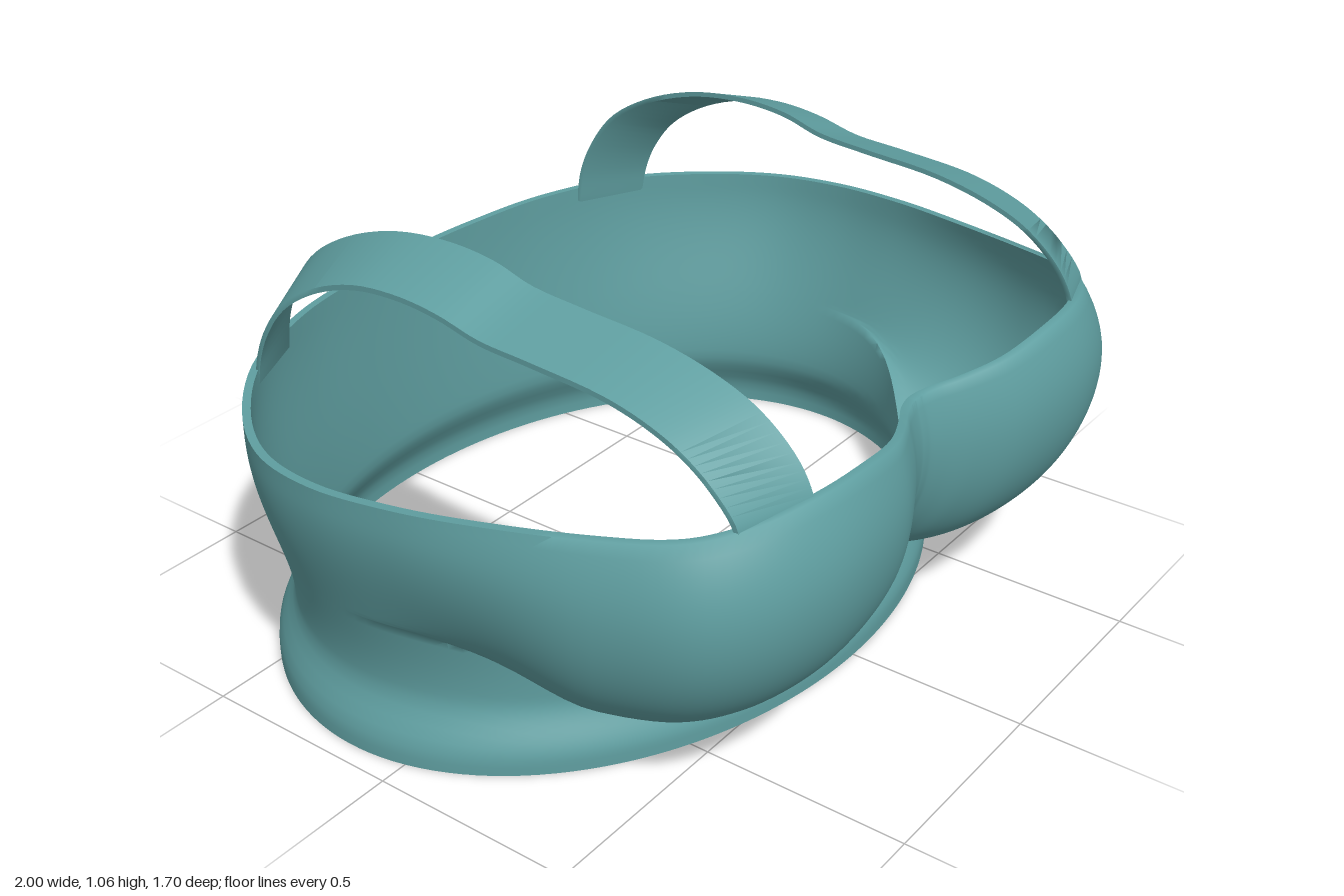
import * as THREE from 'three';
import { toCreasedNormals } from 'three/addons/utils/BufferGeometryUtils.js';

const { smoothstep, lerp, clamp } = THREE.MathUtils;
const fabric = new THREE.MeshStandardMaterial({ color: 0x5f9ea0, side: THREE.DoubleSide });

// Surface through a grid of points; the v direction always closes on itself
function gridGeometry(nu, nv, closedU, point) {
  const pos = [], index = [];
  for (let i = 0; i < nu; i++) for (let j = 0; j < nv; j++) pos.push(...point(i, j));
  for (let i = 0; i < (closedU ? nu : nu - 1); i++) {
    for (let j = 0; j < nv; j++) {
      const i2 = (i + 1) % nu, j2 = (j + 1) % nv;
      const a = i * nv + j, b = i2 * nv + j, c = i2 * nv + j2, d = i * nv + j2;
      index.push(a, b, c, a, c, d);
    }
  }
  const geo = new THREE.BufferGeometry();
  geo.setAttribute('position', new THREE.Float32BufferAttribute(pos, 3));
  geo.setIndex(index);
  return toCreasedNormals(geo, 1.2);
}

// Widest outline of the bodice, front to back: x, height of the neckline, z
const outline = [
  [0, 0.725, 0.715], [0.06, 0.728, 0.73], [0.13, 0.735, 0.768], [0.25, 0.752, 0.822],
  [0.42, 0.774, 0.848], [0.56, 0.774, 0.838], [0.71, 0.757, 0.785], [0.82, 0.738, 0.69],
  [0.895, 0.72, 0.5], [0.95, 0.703, 0.25], [0.985, 0.692, 0.05], [1, 0.682, -0.15],
  [0.97, 0.677, -0.32], [0.88, 0.678, -0.47], [0.7, 0.685, -0.632], [0.45, 0.683, -0.745],
  [0.22, 0.675, -0.795], [0, 0.672, -0.81],
];
const CZ = -0.14, WALL = 0.02;

function bodiceGeometry() {
  const mirrored = outline.slice(1, -1).reverse().map(([x, y, z]) => [-x, y, z]);
  const curve = new THREE.CatmullRomCurve3(
    [...outline, ...mirrored].map(p => new THREE.Vector3(...p)), true);
  const cols = 204, low = 14, high = 34, rows = low + high + 1;

  const columns = Array.from({ length: cols }, (_, i) => {
    const p = curve.getPoint(i / cols);
    const phi = Math.atan2(p.x, p.z - CZ);
    const sin = Math.sin(phi), cos = Math.cos(phi);
    const ribs = 1 / Math.hypot(sin / 0.9, cos / (cos > 0 ? 0.65 : 0.66));
    const full = Math.hypot(p.x, p.z - CZ);
    // Crease under each cup, fading out around the sides
    const cup = smoothstep(p.z, -0.15, 0.5);
    const x = Math.abs(ribs * sin);
    const dx = x < 0.47 ? (0.47 - x) / 0.47 : (x - 0.47) / 0.4;
    const under = lerp(0.35, 0.155 + 0.15 * dx * dx, cup);
    return { sin, cos, ribs, full, cup, under, top: p.y };
  });

  return gridGeometry(cols, rows * 2, true, (i, j) => {
    const c = columns[i];
    const inner = j >= rows;                       // outside going up, lining going down
    const k = inner ? 2 * rows - 1 - j : j;
    const y = k <= low ? c.under * k / low
      : lerp(c.under, c.top, ((k - low) / high) ** 1.7);
    // Round cup profile in front, gentle widening at the sides and back
    const t = clamp((y - c.under) / (c.top - c.under), 0, 1);
    const round = t < 0.68 ? Math.sqrt(1 - (1 - t / 0.68) ** 2)
      : 1 - 0.14 * ((t - 0.68) / 0.32) ** 2;
    const fill = lerp(smoothstep(y, 0.16, 0.64), round, c.cup);
    const hem = 0.05 * (1 - smoothstep(y, 0.03, 0.16));
    const r = lerp(c.ribs, c.full, fill) + hem - (inner ? WALL : 0);
    return [r * c.sin, y, CZ + r * c.cos];
  });
}

// Shoulder strap edges, front to back: z, y
const neckEdge = [
  [0.775, 0.72], [0.772, 0.77], [0.735, 0.84], [0.65, 0.915], [0.55, 0.96], [0.4, 0.995],
  [0.2, 1.01], [0.07, 1.022], [-0.03, 1.05], [-0.15, 1.06], [-0.3, 1.045], [-0.45, 0.995],
  [-0.57, 0.92], [-0.64, 0.83], [-0.68, 0.74], [-0.695, 0.65],
];
const armEdge = [
  [0.715, 0.71], [0.71, 0.76], [0.65, 0.83], [0.58, 0.88], [0.5, 0.915], [0.39, 0.942],
  [0.2, 0.957], [0.07, 0.965], [-0.04, 0.99], [-0.15, 1.0], [-0.28, 0.988], [-0.41, 0.94],
  [-0.51, 0.87], [-0.57, 0.79], [-0.6, 0.72], [-0.615, 0.65],
];

function strapGeometry(side) {
  const edge = (points, x) => new THREE.CatmullRomCurve3(
    points.map(([z, y]) => new THREE.Vector3(x * side, y, z)));
  const neck = edge(neckEdge, 0.54), arm = edge(armEdge, 0.71);
  const axis = new THREE.Vector3(1, 0, 0), n = 70;
  return gridGeometry(n, 4, false, (i, j) => {
    const corner = side > 0 ? j : 3 - j;
    const curve = corner === 0 || corner === 3 ? arm : neck;
    const p = curve.getPoint(i / (n - 1));
    if (corner >= 2) {
      p.addScaledVector(curve.getTangent(i / (n - 1)).cross(axis), 0.012);
    }
    return p.toArray();
  });
}

export function createModel() {
  const model = new THREE.Group();
  model.name = 'bustierTop';
  const add = (name, geometry) => {
    const mesh = new THREE.Mesh(geometry, fabric);
    mesh.name = name;
    model.add(mesh);
  };
  add('bodice', bodiceGeometry());
  add('leftStrap', strapGeometry(1));
  add('rightStrap', strapGeometry(-1));
  return model;
}
